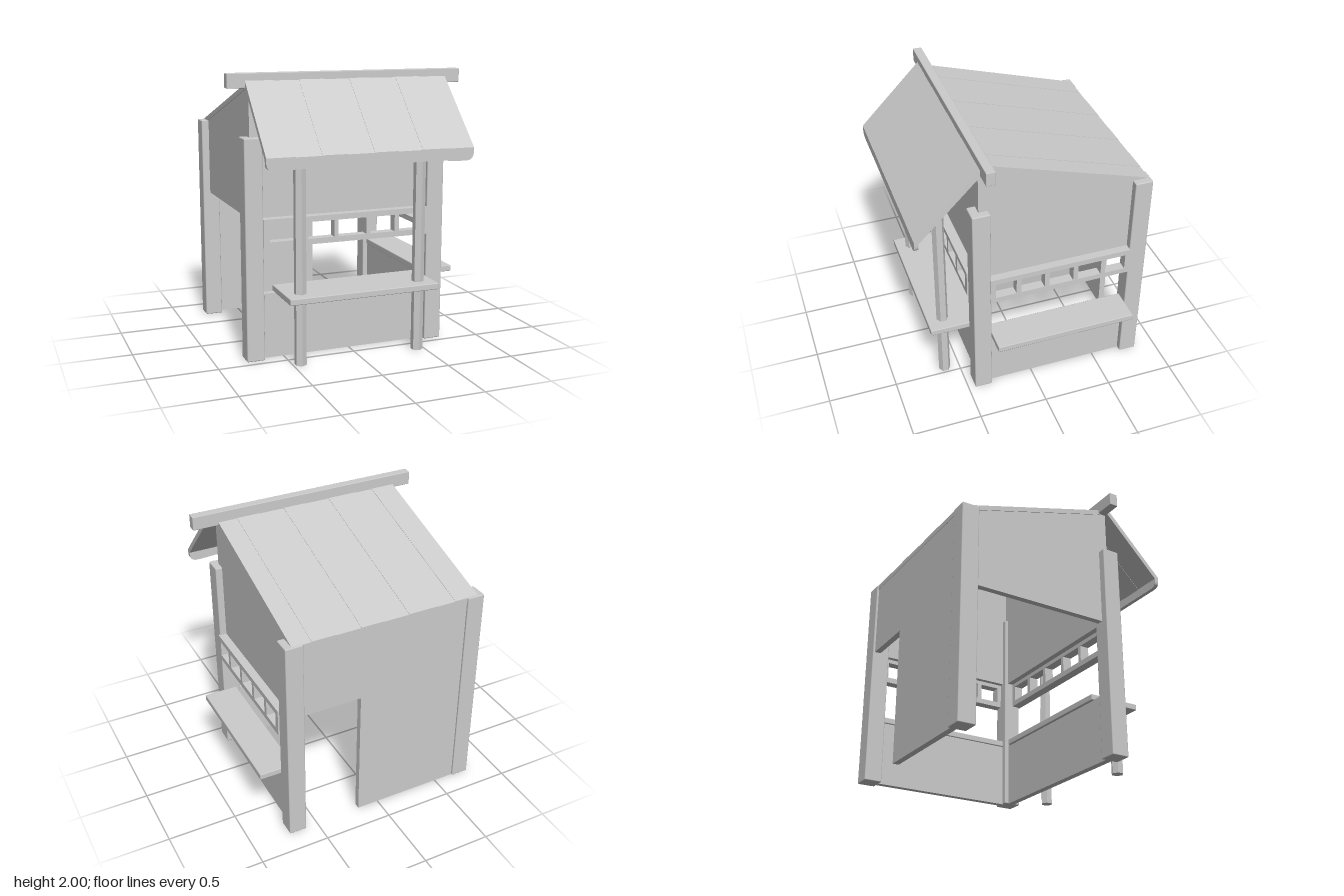
import * as THREE from 'three';
import { RoundedBoxGeometry } from 'three/addons/geometries/RoundedBoxGeometry.js';

export function createModel() {
  const root = new THREE.Group();
  root.name = 'marketStall';
  const wood = new THREE.MeshStandardMaterial({ color: 0xcccccc });
  wood.name = 'paleGreyWood';

  function add(name, geometry, parent = root) {
    const mesh = new THREE.Mesh(geometry, wood);
    mesh.name = name;
    parent.add(mesh);
    return mesh;
  }

  // Box given by its limits, with an optional small bevel
  function box(name, [x0, x1], [y0, y1], [z0, z1], bevel = 0, parent = root) {
    const size = [x1 - x0, y1 - y0, z1 - z0];
    const geometry = bevel
      ? new RoundedBoxGeometry(...size, 1, bevel)
      : new THREE.BoxGeometry(...size);
    const mesh = add(name, geometry, parent);
    mesh.position.set((x0 + x1) / 2, (y0 + y1) / 2, (z0 + z1) / 2);
    return mesh;
  }

  function extrude(shape, depth) {
    return new THREE.ExtrudeGeometry(shape, { depth, bevelEnabled: false, curveSegments: 6 });
  }

  // Profile of [z, y] points swept across from x0 to x1
  function sweep(name, points, x0, x1, parent = root) {
    const shape = new THREE.Shape(points.map(([z, y]) => new THREE.Vector2(z, y)));
    const mesh = add(name, extrude(shape, x1 - x0), parent);
    mesh.rotation.y = -Math.PI / 2;
    mesh.position.x = x1;
    return mesh;
  }

  // Side-by-side planks; every other one sits slightly lower to show the joints
  function sweepPlanks(name, points, joints) {
    const group = new THREE.Group();
    group.name = name;
    root.add(group);
    for (let i = 0; i < joints.length - 1; i++) {
      const plank = sweep('plank', points, joints[i], joints[i + 1], group);
      plank.position.y = i % 2 ? -0.003 : 0;
    }
  }

  // Flat strip with a row of rectangular openings, lying in its local XY plane
  function lattice(name, a0, a1, openings, depth) {
    const shape = new THREE.Shape([
      new THREE.Vector2(a0, 0.81), new THREE.Vector2(a1, 0.81),
      new THREE.Vector2(a1, 1.01), new THREE.Vector2(a0, 1.01),
    ]);
    for (const [l, r] of openings) {
      shape.holes.push(new THREE.Path([
        new THREE.Vector2(l, 0.85), new THREE.Vector2(l, 0.97),
        new THREE.Vector2(r, 0.97), new THREE.Vector2(r, 0.85),
      ]));
    }
    return add(name, extrude(shape, depth));
  }

  // Corner posts
  for (const x of [[-0.78, -0.65], [0.59, 0.72]]) {
    box('frontPost', x, [0, 1.57], [0.32, 0.45], 0.008);
    box('backPost', x, [0, 1.57], [-0.845, -0.715], 0.008);
  }

  // Low walls at the front and right; the other side stays open
  box('frontLowWall', [-0.66, 0.6], [0, 0.47], [0.35, 0.4]);
  box('sideLowWall', [0.63, 0.675], [0, 0.47], [-0.72, 0.33]);

  // Back panel beside the doorway
  box('backPanel', [-0.66, 0.16], [0, 1.01], [-0.83, -0.785]);

  // Upper walls
  box('frontUpperWall', [-0.72, 0.665], [1, 1.92], [0.345, 0.39]);
  box('backUpperWall', [-0.72, 0.665], [1, 1.55], [-0.83, -0.785]);
  const side = [[0.39, 1], [0.39, 1.92], [0.33, 1.92], [-0.83, 1.565], [-0.83, 1]];
  sweep('sideUpperWall', side, 0.625, 0.67);
  sweep('sideUpperWall', side, -0.725, -0.68);

  // Sloping roof planks
  sweepPlanks('roof',
    [[0.35, 1.932], [-0.835, 1.572], [-0.835, 1.535], [0.35, 1.895]],
    [-0.73, -0.55, -0.41, -0.19, 0, 0.17, 0.355, 0.53, 0.67]);

  // Ridge beam
  box('ridgeBeam', [-0.875, 0.857], [1.9, 2], [0.33, 0.395], 0.005);

  // Awning planks and the hanging lip with rounded corners
  sweepPlanks('awning',
    [[0.38, 1.965], [0.845, 1.492], [0.845, 1.475], [0.815, 1.475], [0.38, 1.918]],
    [-0.75, -0.55, -0.37, -0.19, 0, 0.17, 0.35, 0.53, 0.74]);
  const lip = new THREE.Shape();
  lip.moveTo(-0.75, 1.485);
  lip.lineTo(-0.75, 1.455);
  lip.quadraticCurveTo(-0.75, 1.41, -0.7, 1.41);
  lip.lineTo(0.5, 1.41);
  lip.quadraticCurveTo(0.6, 1.4, 0.68, 1.4);
  lip.quadraticCurveTo(0.74, 1.4, 0.74, 1.46);
  lip.lineTo(0.74, 1.485);
  add('awningLip', extrude(lip, 0.03)).position.z = 0.815;

  // Slim awning poles
  for (const x of [-0.445, 0.447]) {
    const geometry = new THREE.CylinderGeometry(0.043, 0.043, 1.5, 6).toNonIndexed();
    geometry.computeVertexNormals();
    add('awningPole', geometry).position.set(x, 0.75, 0.61);
  }

  // Counter shelves
  box('frontShelf', [-0.555, 0.56], [0.465, 0.51], [0.33, 0.725], 0.006);
  box('sideShelf', [0.62, 0.873], [0.465, 0.51], [-0.715, 0.32], 0.006);

  // Openwork strips over the front and side counters
  lattice('frontLattice', -0.655, 0.6,
    [[-0.61, -0.36], [-0.33, -0.135], [-0.105, 0.11], [0.14, 0.33], [0.365, 0.555]],
    0.07).position.z = 0.39;
  const sideLattice = lattice('sideLattice', -0.72, 0.33,
    [[-0.68, -0.53], [-0.495, -0.32], [-0.285, -0.105], [-0.07, 0.105], [0.14, 0.29]], 0.07);
  sideLattice.rotation.y = -Math.PI / 2;
  sideLattice.position.x = 0.73;

  return root;
}
